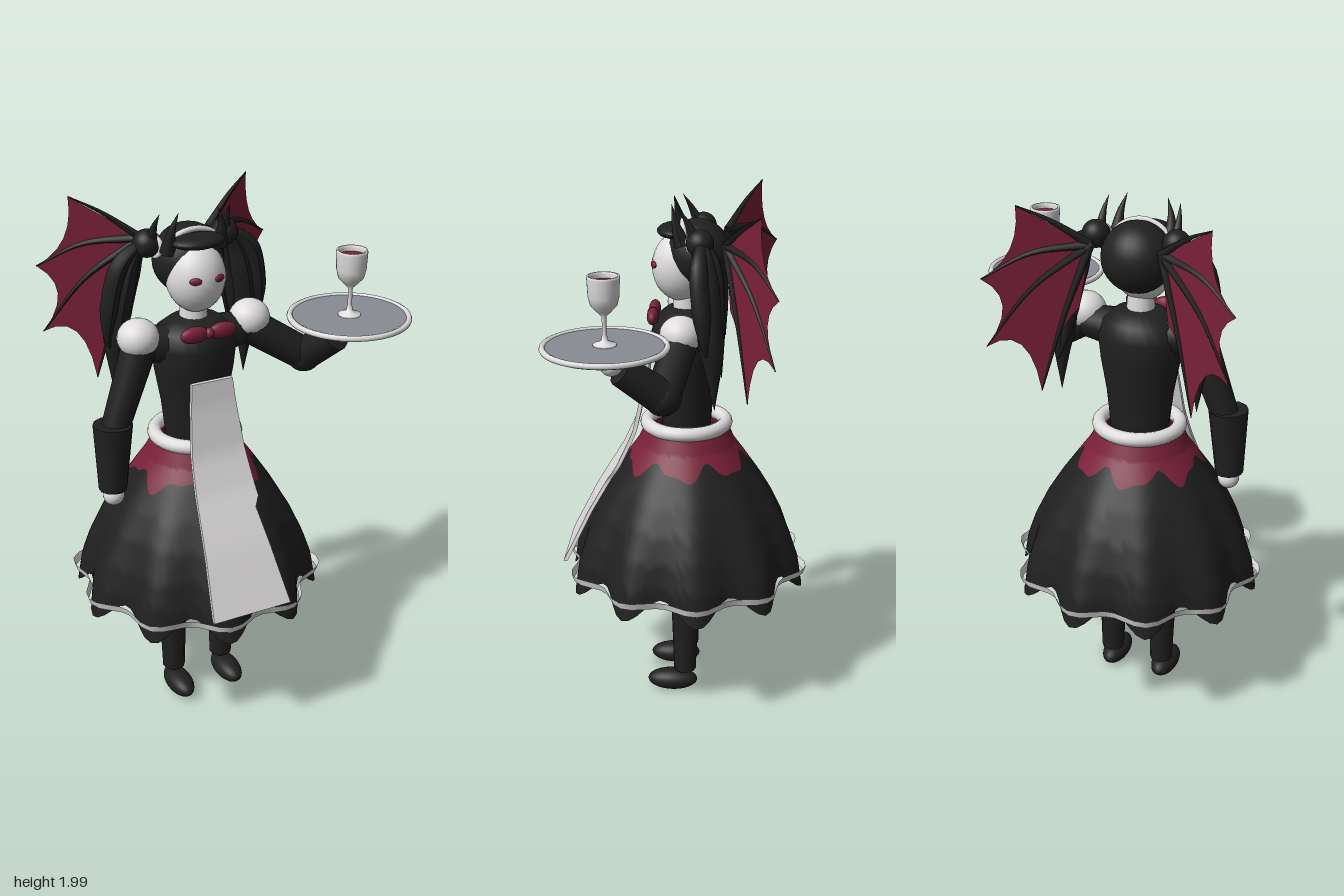
import * as THREE from 'three';
import { ParametricGeometry } from 'three/addons/geometries/ParametricGeometry.js';

const V = (x, y, z) => new THREE.Vector3(x, y, z);
const material = (name, color) => {
  const m = new THREE.MeshStandardMaterial({ color, side: THREE.DoubleSide });
  m.name = name;
  return m;
};

export function createModel() {
  const black = material('black cloth', 0x202020);
  const white = material('white', 0xdedcdc);
  const burgundy = material('burgundy', 0x7a2039);
  const grey = material('tray grey', 0x8a8c94);

  const model = new THREE.Group();
  const body = new THREE.Group();
  body.name = 'figure';
  body.position.x = -0.12;
  model.add(body);

  const add = (name, geometry, mat, x = 0, y = 0, z = 0) => {
    const mesh = new THREE.Mesh(geometry, mat);
    mesh.name = name;
    mesh.position.set(x, y, z);
    body.add(mesh);
    return mesh;
  };
  const ball = (name, mat, x, y, z, rx, ry = rx, rz = rx) =>
    add(name, new THREE.SphereGeometry(1, 24, 16).scale(rx, ry, rz), mat, x, y, z);
  const lathe = (points, sides = 24) =>
    new THREE.LatheGeometry(points.map(p => new THREE.Vector2(p[0], p[1])), sides);

  // Straight limb from a to b
  const limb = (name, mat, a, b, ra, rb, sides = 12) => {
    const mesh = add(name, new THREE.CylinderGeometry(rb, ra, a.distanceTo(b), sides), mat);
    mesh.position.copy(a).lerp(b, 0.5);
    mesh.quaternion.setFromUnitVectors(V(0, 1, 0), b.clone().sub(a).normalize());
    return mesh;
  };

  // Tube along points whose radius follows radiusAt(t)
  const taperTube = (name, mat, points, radiusAt, segments = 16, sides = 8) => {
    const path = new THREE.CatmullRomCurve3(points);
    const g = new THREE.TubeGeometry(path, segments, 1, sides);
    const p = g.attributes.position, v = V(0, 0, 0);
    for (let i = 0; i < p.count; i++) {
      const t = Math.floor(i / (sides + 1)) / segments, c = path.getPointAt(t);
      v.fromBufferAttribute(p, i).sub(c).multiplyScalar(radiusAt(t)).add(c);
      p.setXYZ(i, v.x, v.y, v.z);
    }
    g.computeVertexNormals();
    return add(name, g, mat);
  };

  // Piecewise linear lookup in [[y, value], ...] with falling y
  const lookup = (table, y) => {
    for (let i = 1; i < table.length; i++) {
      const [y0, a] = table[i - 1], [y1, b] = table[i];
      if (y >= y1 || i === table.length - 1)
        return THREE.MathUtils.lerp(a, b, THREE.MathUtils.clamp((y0 - y) / (y0 - y1), 0, 1));
    }
  };

  // Bell skirt: ten soft folds that deepen towards the bottom
  const fold = a => Math.cos(10 * a - 4.54);
  const skirtProfile = [[1.12, 0.16], [1.06, 0.187], [1.0, 0.23], [0.9, 0.298],
    [0.8, 0.356], [0.7, 0.4], [0.6, 0.43], [0.48, 0.442]];
  const skirtLayer = (name, mat, low, high, inset = 0) =>
    add(name, new ParametricGeometry((u, v, out) => {
      const a = u * Math.PI * 2;
      const y = THREE.MathUtils.lerp(low(a), high(a), v);
      const t = (1.12 - y) / 0.6;
      const r = lookup(skirtProfile, y) + 0.022 * t * t * fold(a) - inset * (0.15 + t);
      out.set(r * Math.sin(a), y, r * Math.cos(a));
    }, 100, 14), mat);
  const yokeEdge = a => 1.0 + 0.024 * Math.sin(7 * a) + 0.012 * Math.sin(13 * a + 1);
  skirtLayer('skirtYoke', burgundy, yokeEdge, () => 1.12);
  skirtLayer('skirt', black, a => 0.525 - 0.045 * fold(a), yokeEdge);
  skirtLayer('skirtLining', burgundy, () => 0.57, () => 1.08, 0.07);

  // Thin flared ribbon around the hem
  add('hemRibbon', new ParametricGeometry((u, v, out) => {
    const a = u * Math.PI * 2, r = 0.444 + 0.028 * fold(a) + 0.01 * v;
    out.set(r * Math.sin(a), 0.535 + 0.03 * v, r * Math.cos(a));
  }, 70, 1), white);

  // Waistband and torso
  add('waistband', new THREE.TorusGeometry(0.15, 0.027, 12, 40).rotateX(Math.PI / 2), white, 0, 1.135, 0);
  add('torso', lathe([[0, 1.06], [0.11, 1.06], [0.115, 1.16], [0.127, 1.27], [0.15, 1.4], [0.16, 1.49],
    [0.14, 1.55], [0.09, 1.585], [0, 1.6]]).scale(1, 1, 0.83), black);
  limb('neck', white, V(0, 1.54, 0), V(0, 1.68, 0), 0.055, 0.045, 16);

  // Apron panel hanging over the skirt, its left edge tucked under a fold
  const apronDepth = [[1.39, 0.135], [1.3, 0.145], [1.12, 0.185], [1.0, 0.24], [0.9, 0.3],
    [0.8, 0.358], [0.7, 0.407], [0.6, 0.457]];
  const apron = new THREE.BoxGeometry(1, 1, 1, 4, 24, 1);
  const ap = apron.attributes.position;
  for (let i = 0; i < ap.count; i++) {
    const x = ap.getX(i), t = ap.getY(i) + 0.5, y = 0.6 + 0.79 * t;
    const tuck = x > 0 && y < 0.95 ? 0.05 * x * (y - 0.6) / 0.35 : 0;
    ap.setXYZ(i, 2 * x * THREE.MathUtils.lerp(0.156, 0.08, t) - tuck, y,
      lookup(apronDepth, y) + (ap.getZ(i) + 0.5) * 0.016);
  }
  apron.computeVertexNormals();
  add('apron', apron, white);

  // Bow at the collar
  for (const s of [-1, 1]) ball('bowLoop', burgundy, s * 0.055, 1.565, 0.122, 0.054, 0.031, 0.022);
  ball('bowKnot', burgundy, 0, 1.565, 0.126, 0.018, 0.02, 0.02);

  // Head, hair, fringe and headband
  ball('face', white, 0, 1.742, 0.02, 0.107, 0.128, 0.108);
  ball('hair', black, 0, 1.79, -0.04, 0.13, 0.128, 0.122);
  ball('fringe', black, 0, 1.875, 0.04, 0.1, 0.026, 0.068);
  const band = add('headband', new THREE.TorusGeometry(0.129, 0.011, 8, 24, 1.9)
    .rotateZ((Math.PI - 1.9) / 2), white, 0, 1.784, -0.015);
  band.rotation.x = 0.22;

  const wingZ = x => -0.14 - 0.57 * (x - 0.12);
  for (const s of [-1, 1]) {
    ball('eye', burgundy, s * 0.046, 1.757, 0.118, 0.022, 0.013, 0.008).rotation.y = s * 0.4;

    // Horns
    taperTube('horn', black, [V(s * 0.1, 1.84, 0.01), V(s * 0.095, 1.92, 0.035), V(s * 0.076, 1.985, 0.05)],
      t => 0.03 * (1 - t) + 0.0005);
    taperTube('outerSpike', black, [V(s * 0.14, 1.87, -0.04), V(s * 0.14, 1.93, -0.01), V(s * 0.133, 1.98, 0.02)],
      t => 0.022 * (1 - t) + 0.0005);

    // Twin tails: a tied bun with three long locks
    ball('bun', black, s * 0.15, 1.86, -0.055, 0.05);
    const tie = add('hairTie', new THREE.TorusGeometry(0.034, 0.01, 8, 20), white, s * 0.128, 1.85, -0.04);
    tie.rotation.y = s * 1.2;
    const locks = [[0, 0, 1.275, 0.046], [0.045, 0.02, 1.46, 0.033], [-0.03, -0.025, 1.4, 0.033]];
    for (const [dx, dz, tipY, r] of locks)
      taperTube('tailLock', black, [V(s * 0.16, 1.87, -0.06), V(s * (0.205 + dx), 1.8, -0.075 + dz),
        V(s * (0.25 + dx), 1.62, -0.09 + dz), V(s * (0.26 + dx * 0.7), 1.49, -0.105 + dz),
        V(s * 0.262, tipY, -0.115 + dz)],
      t => r * Math.min(1, 0.45 + t * 2, (1 - t) * 2.6) + 0.0005, 20, 10);

    // Bat wing: scalloped membrane with finger bones
    const shape = new THREE.Shape();
    shape.moveTo(s * 0.13, 1.85);
    shape.quadraticCurveTo(s * 0.25, 1.93, s * 0.35, 1.995);
    shape.quadraticCurveTo(s * 0.335, 1.82, s * 0.46, 1.74);
    shape.quadraticCurveTo(s * 0.34, 1.66, s * 0.45, 1.49);
    shape.quadraticCurveTo(s * 0.32, 1.58, s * 0.285, 1.31);
    shape.quadraticCurveTo(s * 0.24, 1.55, s * 0.165, 1.62);
    shape.closePath();
    const g = new THREE.ShapeGeometry(shape, 6), p = g.attributes.position;
    for (let i = 0; i < p.count; i++) p.setZ(i, wingZ(Math.abs(p.getX(i))));
    g.computeVertexNormals();
    add('wingMembrane', g, burgundy);
    const tips = [[0.35, 1.995, 0.018], [0.46, 1.74, 0.03], [0.45, 1.49, 0.03], [0.285, 1.31, 0.01]];
    for (const [x, y, bow] of tips) {
      const mx = (x + 0.13) / 2 + bow * 0.6, my = (y + 1.85) / 2 + bow;
      taperTube('wingBone', black, [V(s * 0.13, 1.85, wingZ(0.13)), V(s * mx, my, wingZ(mx)), V(s * x, y, wingZ(x))],
        t => 0.014 * (1 - t) + 0.002, 12, 6);
    }

    // Shoulder puffs, legs and shoes
    ball('shoulderPuff', white, s * 0.22, 1.545, 0.01, 0.076, 0.07, 0.076);
    limb('shoulder', black, V(s * 0.08, 1.5, 0), V(s * 0.21, 1.51, 0), 0.075, 0.06);
    limb('leg', black, V(s * 0.105, 0.1, 0), V(s * 0.105, 1.0, 0), 0.044, 0.075, 10);
    ball('shoe', black, s * 0.107, 0.05, 0.05, 0.05, 0.043, 0.1);
  }

  // Lowered right arm with a wide cuff
  limb('rightUpperArm', black, V(-0.21, 1.53, 0.01), V(-0.325, 1.22, 0.02), 0.065, 0.052);
  limb('rightCuff', black, V(-0.335, 1.24, 0.025), V(-0.347, 0.985, 0.03), 0.073, 0.052);
  ball('rightHand', white, -0.345, 0.96, 0.03, 0.04);

  // Raised left arm carrying the tray
  const elbow = V(0.425, 1.38, 0.06);
  limb('leftUpperArm', black, V(0.21, 1.52, 0.01), elbow, 0.065, 0.062);
  ball('leftElbow', black, elbow.x, elbow.y, elbow.z, 0.066);
  limb('leftForearm', black, elbow, V(0.475, 1.495, 0.2), 0.064, 0.056);
  ball('leftHand', white, 0.488, 1.52, 0.23, 0.042);

  // Tray with a grey inlay, goblet and wine
  const tx = 0.495, tz = 0.25;
  add('tray', new THREE.CylinderGeometry(0.214, 0.205, 0.014, 48), white, tx, 1.576, tz);
  add('trayInlay', new THREE.CylinderGeometry(0.208, 0.208, 0.004, 48), grey, tx, 1.585, tz);
  add('trayRim', new THREE.TorusGeometry(0.212, 0.011, 8, 48).rotateX(Math.PI / 2), white, tx, 1.583, tz);
  add('goblet', lathe([[0, 1.588], [0.042, 1.588], [0.04, 1.594], [0.012, 1.605], [0.008, 1.63], [0.008, 1.69],
    [0.025, 1.707], [0.046, 1.73], [0.053, 1.76], [0.056, 1.822], [0.055, 1.83], [0.048, 1.83], [0.047, 1.82],
    [0.045, 1.77], [0, 1.72]], 32), white, tx, 0, tz);
  add('wine', new THREE.CylinderGeometry(0.047, 0.046, 0.008, 32), burgundy, tx, 1.806, tz);

  return model;
}
